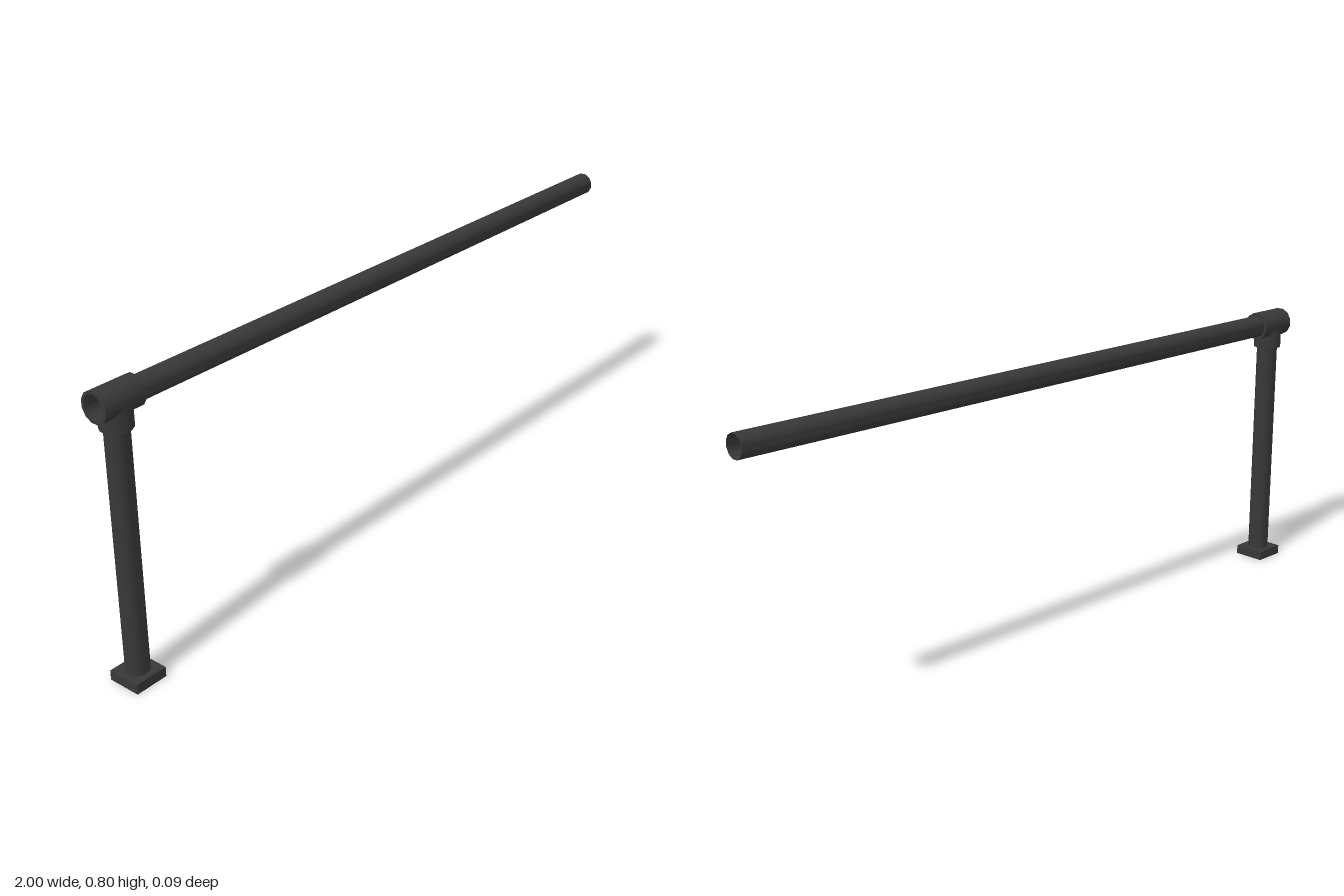
import * as THREE from 'three';
import { toCreasedNormals } from 'three/addons/utils/BufferGeometryUtils.js';

const SIDES = 12;
const PIPE = 0.031, SLEEVE = 0.041;
const POST_X = -0.94, RAIL_Y = 0.757;

// Hollow tube along y from a to b, with wall and end rims
function tube(outer, inner, a, b) {
  const profile = [[inner, a], [outer, a], [outer, b], [inner, b], [inner, a]]
    .map(([r, y]) => new THREE.Vector2(r, y));
  return new THREE.LatheGeometry(profile, SIDES, Math.PI / SIDES);
}

export function createModel() {
  const group = new THREE.Group();
  const material = new THREE.MeshStandardMaterial({ color: 0x383838, side: THREE.DoubleSide });
  const add = (name, geometry, x = 0, y = 0) => {
    const mesh = new THREE.Mesh(toCreasedNormals(geometry, 0.7), material);
    mesh.name = name;
    mesh.position.set(x, y, 0);
    group.add(mesh);
  };

  // Horizontal rail, open at both ends
  add('rail', tube(PIPE + 0.001, PIPE - 0.0005, -0.99, 1).rotateZ(-Math.PI / 2), 0, RAIL_Y);

  // Tee fitting: sleeve around the rail
  add('teeSleeve', tube(SLEEVE, PIPE + 0.001, -1, -0.88).rotateZ(-Math.PI / 2), 0, RAIL_Y);

  // Tee fitting: collar on the post, its top cut to follow the sleeve
  const collar = tube(SLEEVE, PIPE, 0.687, 0.72);
  const p = collar.attributes.position;
  for (let i = 0; i < p.count; i++) {
    if (p.getY(i) < 0.7) continue;
    const z = p.getZ(i);
    p.setY(i, RAIL_Y - Math.sqrt(Math.max(0, (SLEEVE - 0.003) ** 2 - z * z)));
  }
  add('teeCollar', collar, POST_X);

  // Upright post
  add('post', tube(PIPE, PIPE - 0.003, 0.002, 0.722), POST_X);

  // Square base plate with a hole for the post
  const half = 0.047;
  const plate = new THREE.Shape([[-half, -half], [half, -half], [half, half], [-half, half]]
    .map(([x, y]) => new THREE.Vector2(x, y)));
  plate.holes.push(new THREE.Path().absarc(0, 0, PIPE - 0.001, 0, Math.PI * 2, true));
  const base = new THREE.ExtrudeGeometry(plate, { depth: 0.027, bevelEnabled: false, curveSegments: SIDES });
  add('basePlate', base.rotateX(-Math.PI / 2), POST_X);

  return group;
}
